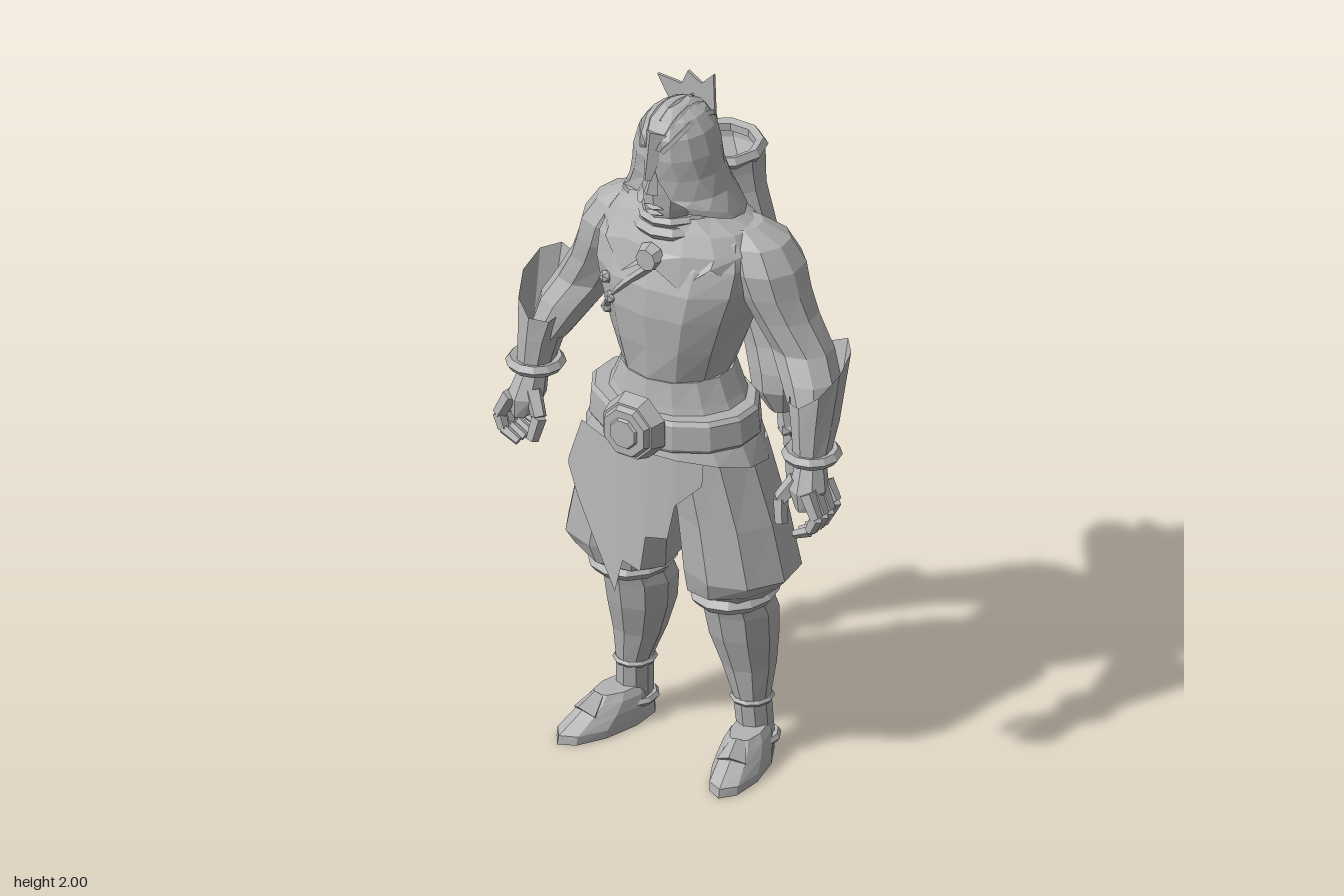
import * as THREE from 'three';

const grey = new THREE.MeshStandardMaterial({ color: 0xb4b4b4, side: THREE.DoubleSide });
grey.name = 'clay grey';
const V = (x, y, z) => new THREE.Vector3(x, y, z);

// Faceted mesh with a name
function part(group, name, geo) {
  const flat = geo.index ? geo.toNonIndexed() : geo;
  flat.computeVertexNormals();
  const mesh = new THREE.Mesh(flat, grey);
  mesh.name = name;
  group.add(mesh);
  return mesh;
}

// Skin over level rings, bottom to top: [x, y, z, rx, rz, frontGap]
function loft(rings, n = 10, { bottom = true, top = true, warp } = {}) {
  const pos = [], idx = [];
  rings.forEach(([x, y, z, rx, rz, gap = 0], i) => {
    for (let j = 0; j <= n; j++) {
      const t = gap + (j / n) * (Math.PI * 2 - 2 * gap);
      const p = V(x + rx * Math.sin(t), y, z + rz * Math.cos(t));
      if (warp) warp(p, t, i, j);
      pos.push(p.x, p.y, p.z);
    }
  });
  const w = n + 1;
  for (let i = 0; i < rings.length - 1; i++)
    for (let j = 0; j < n; j++) {
      const a = i * w + j, d = a + w;
      idx.push(a, a + 1, d + 1, a, d + 1, d);
    }
  const cap = (i, up) => {
    const c = pos.length / 3;
    pos.push(rings[i][0], rings[i][1], rings[i][2]);
    for (let j = 0; j < n; j++) {
      const a = i * w + j;
      if (up) idx.push(a, a + 1, c); else idx.push(a + 1, a, c);
    }
  };
  if (bottom) cap(0, false);
  if (top) cap(rings.length - 1, true);
  const g = new THREE.BufferGeometry();
  g.setAttribute('position', new THREE.Float32BufferAttribute(pos, 3));
  g.setIndex(idx);
  return g;
}

// Tapered rod between two points
function rod(a, b, r0, r1, n = 5) {
  const d = b.clone().sub(a);
  const g = new THREE.CylinderGeometry(r1, r0, d.length(), n);
  g.applyQuaternion(new THREE.Quaternion().setFromUnitVectors(V(0, 1, 0), d.normalize()));
  const m = a.clone().add(b).multiplyScalar(0.5);
  return g.translate(m.x, m.y, m.z);
}

// Level ring
function hoop(x, y, z, rx, rz, tube, n = 12) {
  return new THREE.TorusGeometry(1, tube / rx, 5, n).rotateX(Math.PI / 2)
    .scale(rx, rx, rz).translate(x, y, z);
}

// Hanging cloth from columns [x, topY, bottomY]
function cloth(cols, zAt) {
  const rows = 4, g = new THREE.PlaneGeometry(1, 1, cols.length - 1, rows), p = g.attributes.position;
  for (let i = 0; i < p.count; i++) {
    const [x, t, b] = cols[i % cols.length];
    const y = t + (b - t) * Math.floor(i / cols.length) / rows;
    p.setXYZ(i, x, y, zAt(x, y));
  }
  return g;
}

// Thin plate cut to an outline
const plate = (pts, z, depth) => new THREE.ExtrudeGeometry(
  new THREE.Shape(pts.map(([x, y]) => new THREE.Vector2(x, y))), { depth, bevelEnabled: false }).translate(0, 0, z - depth / 2);

function buildHead(g) {
  part(g, 'neck', loft([[0, 1.54, 0.06, 0.1, 0.1], [0, 1.7, 0.08, 0.075, 0.08]]));
  part(g, 'face', loft([[0, 1.64, 0.13, 0.03, 0.05], [0, 1.665, 0.125, 0.055, 0.075],
    [0, 1.71, 0.12, 0.072, 0.085], [0, 1.76, 0.11, 0.08, 0.098], [0, 1.85, 0.1, 0.08, 0.105]]));
  part(g, 'nose', rod(V(0, 1.83, 0.2), V(0, 1.765, 0.218), 0.01, 0.022, 4));
  for (const y of [1.70, 1.717]) part(g, 'lip', new THREE.OctahedronGeometry(1).scale(0.032, 0.009, 0.016).translate(0, y, 0.202));
  part(g, 'hood', loft([
    [0, 1.672, 0.055, 0.18, 0.148, 0.62], [0, 1.692, 0.06, 0.172, 0.15, 0.56], [0, 1.75, 0.073, 0.145, 0.138, 0.38],
    [0, 1.81, 0.085, 0.126, 0.13, 0.16], [0, 1.87, 0.09, 0.116, 0.13, 0.04], [0, 1.93, 0.09, 0.098, 0.12],
    [0, 1.968, 0.09, 0.07, 0.092], [0, 1.992, 0.09, 0.028, 0.045]], 13, {
    bottom: false,
    warp: (p, t, i) => { if (i < 2) p.y += 0.05 * Math.max(0, Math.cos(t)); },
  }));
  part(g, 'hoodPeak', rod(V(0, 1.94, 0.185), V(0, 1.815, 0.235), 0.04, 0.012, 4));
  // Raised seams over the crown
  for (let k = -2; k <= 2; k++) {
    const c = Math.cos(k * 0.42), x = 0.085 * Math.sin(k * 0.42);
    const path = new THREE.CatmullRomCurve3([V(x * 0.5, 1.9, 0.212), V(x, 1.9 + 0.07 * c, 0.165),
      V(x, 1.9 + 0.09 * c, 0.09), V(x, 1.9 + 0.067 * c, 0.015), V(x * 0.6, 1.9, -0.03)]);
    part(g, 'hoodSeam', new THREE.TubeGeometry(path, 8, 0.009, 4));
  }
}

function buildTorso(g) {
  part(g, 'torso', loft([[0, 1.08, 0.09, 0.2, 0.165], [0, 1.2, 0.085, 0.157, 0.15], [0, 1.3, 0.077, 0.178, 0.165],
    [0, 1.4, 0.068, 0.21, 0.182], [0, 1.48, 0.06, 0.235, 0.182], [0, 1.55, 0.045, 0.24, 0.17],
    [0, 1.62, 0.035, 0.22, 0.135], [0, 1.665, 0.045, 0.15, 0.11], [0, 1.68, 0.05, 0.08, 0.08]], 12, {
    // Squarer, broader chest and back
    warp: (p, t, i) => { if (i > 1 && i < 7) { p.x *= 1 + 0.1 * Math.sin(2 * t) ** 2; p.z += 0.012 * Math.sin(2 * t) ** 2 * Math.sign(Math.cos(t)); } },
  }));
  // Jagged mantle over the shoulders
  part(g, 'mantle', loft([[0, 1.53, 0.05, 0.245, 0.19], [0, 1.59, 0.045, 0.245, 0.172], [0, 1.64, 0.045, 0.21, 0.145],
    [0, 1.68, 0.06, 0.13, 0.12]], 16, {
    bottom: false, top: false, warp: (p, t, i, j) => { if (!i) p.y += j % 2 ? -0.03 : 0.035; },
  }));
  part(g, 'collar', hoop(0, 1.64, 0.09, 0.1, 0.11, 0.02));
  part(g, 'collarFold', hoop(0, 1.672, 0.1, 0.085, 0.095, 0.015));
  part(g, 'brooch', new THREE.CylinderGeometry(0.032, 0.044, 0.03, 8).rotateX(Math.PI / 2).translate(0, 1.57, 0.23));
  // Chest strap with studs
  const strap = new THREE.CatmullRomCurve3([V(0.0, 1.54, 0.226), V(-0.08, 1.465, 0.232), V(-0.15, 1.38, 0.205), V(-0.19, 1.28, 0.1)]);
  part(g, 'chestStrap', new THREE.TubeGeometry(strap, 8, 0.012, 4));
  for (const [x, y, z] of [[-0.125, 1.41, 0.226], [-0.165, 1.35, 0.185], [-0.15, 1.46, 0.215]])
    part(g, 'strapStud', new THREE.IcosahedronGeometry(0.02, 0).translate(x, y, z));

  part(g, 'tunicHem', loft([[0, 0.95, 0.09, 0.278, 0.197], [0, 1.03, 0.09, 0.245, 0.188], [0, 1.13, 0.085, 0.19, 0.165],
    [0, 1.2, 0.085, 0.16, 0.153]], 14, {
    warp: (p, t, i) => { if (!i) p.y += 0.05 * Math.max(0, Math.cos(t)); },
  }));
  part(g, 'belt', loft([[0, 1.02, 0.1, 0.248, 0.192], [0, 1.03, 0.1, 0.256, 0.196],
    [0, 1.1, 0.1, 0.25, 0.192], [0, 1.112, 0.1, 0.238, 0.184]], 14));
  const buckle = (name, r0, r1, depth, z) =>
    part(g, name, new THREE.CylinderGeometry(r1, r0, depth, 8).rotateY(Math.PI / 8).rotateX(Math.PI / 2).translate(0, 1.08, z));
  buckle('buckleBase', 0.1, 0.085, 0.045, 0.3075);
  buckle('buckleRim', 0.082, 0.07, 0.025, 0.335);
  buckle('buckleBoss', 0.055, 0.042, 0.02, 0.345);

  part(g, 'frontCloth', cloth([[-0.295, 0.84, 0.82], [-0.24, 0.98, 0.76], [-0.16, 0.99, 0.68], [-0.06, 1.01, 0.55],
    [-0.04, 1.01, 0.65], [0.02, 1.01, 0.635], [0.03, 1.01, 0.74], [0.095, 1.0, 0.75], [0.11, 1.0, 0.85], [0.18, 0.99, 0.92]],
  (x, y) => 0.262 + 0.1 * (1 - y) - 1.1 * x * x));
  part(g, 'backCloth', cloth([[-0.2, 0.97, 0.84], [-0.15, 0.97, 0.78], [-0.11, 0.97, 0.745], [-0.08, 0.97, 0.85]],
    (x, y) => -0.075 - 0.14 * (0.97 - y)));
}

function buildArm(s) {
  const g = new THREE.Group();
  g.name = s > 0 ? 'leftArm' : 'rightArm';
  part(g, 'upperArm', loft([[s * 0.435, 1.14, 0.07, 0.058, 0.065], [s * 0.395, 1.24, 0.03, 0.085, 0.082], [s * 0.352, 1.31, 0.005, 0.09, 0.082],
    [s * 0.3, 1.4, 0.008, 0.09, 0.095], [s * 0.268, 1.47, 0.012, 0.095, 0.108], [s * 0.245, 1.54, 0.012, 0.1, 0.115],
    [s * 0.215, 1.605, 0.012, 0.085, 0.095], [s * 0.17, 1.645, 0.02, 0.05, 0.06]], 9));
  part(g, 'bracer', loft([[s * 0.456, 1.05, 0.11, 0.05, 0.055], [s * 0.45, 1.14, 0.085, 0.062, 0.077],
    [s * 0.445, 1.275, 0.055, 0.078, 0.102]], 9, {
    top: false, warp: (p, t, i) => { if (i === 2) p.y += 0.035 * s * Math.sin(t) - 0.065 * Math.cos(t); },
  }));
  part(g, 'bracerRim', hoop(s * 0.455, 1.055, 0.108, 0.066, 0.066, 0.018));
  part(g, 'palm', loft([[s * 0.468, 0.91, 0.14, 0.03, 0.05], [s * 0.465, 0.965, 0.137, 0.054, 0.058], [s * 0.456, 1.04, 0.115, 0.04, 0.045]], 8));
  // Curled fingers and thumb
  const digit = (name, pts, r) => {
    for (let i = 0; i < pts.length - 1; i++) part(g, name, rod(pts[i], pts[i + 1], r * (1 - i * 0.15), r * (0.85 - i * 0.15)));
  };
  for (let k = 0; k < 4; k++) {
    const z = 0.09 + k * 0.03, d = k === 0 ? 0.015 : 0;
    digit('finger', [V(s * 0.488, 0.97, z), V(s * 0.522, 0.905 + d, z + 0.005), V(s * 0.505, 0.865 + d, z + 0.01), V(s * 0.455, 0.84 + d, z + 0.01)], 0.023);
  }
  digit('thumb', [V(s * 0.435, 0.985, 0.15), V(s * 0.398, 0.925, 0.175), V(s * 0.41, 0.86, 0.19)], 0.026);
  return g;
}

function buildLeg(s) {
  const g = new THREE.Group();
  g.name = s > 0 ? 'leftLeg' : 'rightLeg';
  part(g, 'trouserLeg', loft([[s * 0.17, 0.535, 0.06, 0.105, 0.115], [s * 0.185, 0.56, 0.06, 0.145, 0.152], [s * 0.195, 0.615, 0.065, 0.163, 0.165],
    [s * 0.168, 0.78, 0.07, 0.152, 0.158], [s * 0.125, 0.99, 0.08, 0.13, 0.155]], 9, {
    warp: (p, t, i) => { if (i === 1) p.y += 0.025 * s * Math.sin(t); },
  }));
  part(g, 'kneeCuff', hoop(s * 0.168, 0.522, 0.06, 0.095, 0.11, 0.023));
  part(g, 'shin', loft([[s * 0.2, 0.06, 0.005, 0.05, 0.055], [s * 0.193, 0.19, 0.015, 0.052, 0.055], [s * 0.18, 0.28, 0.01, 0.076, 0.075],
    [s * 0.168, 0.38, 0.018, 0.098, 0.097], [s * 0.165, 0.46, 0.027, 0.105, 0.104], [s * 0.168, 0.54, 0.055, 0.09, 0.1]], 9));
  part(g, 'ankleBand', hoop(s * 0.193, 0.178, 0.013, 0.052, 0.055, 0.009, 10));
  // Shoe, toes turned outward
  const shoe = new THREE.Group();
  shoe.name = 'shoe';
  shoe.position.set(s * 0.2, 0, 0.01);
  shoe.rotation.y = s * 0.24;
  part(shoe, 'shoeBody', loft([[0, 0, 0.1, 0.068, 0.178], [0, 0.025, 0.1, 0.07, 0.172], [0, 0.055, 0.075, 0.066, 0.14],
    [0, 0.085, 0.055, 0.058, 0.11], [0, 0.105, 0.045, 0.045, 0.095]], 10));
  part(shoe, 'shoeTongue', rod(V(0, 0.055, 0.17), V(0, 0.1, 0.125), 0.045, 0.022, 5));
  part(shoe, 'shoeStrap', hoop(0, 0.06, 0.005, 0.062, 0.065, 0.012, 10));
  g.add(shoe);
  return g;
}

function buildQuiver() {
  const g = new THREE.Group();
  g.name = 'quiver';
  part(g, 'quiverBody', loft([[0.172, 0.985, -0.162, 0.035, 0.04], [0.158, 1.055, -0.178, 0.08, 0.09], [0.15, 1.11, -0.182, 0.088, 0.09],
    [0.125, 1.18, -0.185, 0.084, 0.08], [0.05, 1.38, -0.203, 0.09, 0.09], [-0.04, 1.6, -0.216, 0.1, 0.1],
    [-0.07, 1.655, -0.221, 0.12, 0.122], [-0.075, 1.69, -0.222, 0.122, 0.126]], 9, { top: false }));
  part(g, 'quiverRim', hoop(-0.075, 1.695, -0.222, 0.112, 0.112, 0.019, 10));
  // Flared leather lip beside the opening
  part(g, 'quiverFlap', loft([[0.01, 1.44, -0.205, 0.085, 0.08], [-0.06, 1.54, -0.212, 0.11, 0.1], [-0.155, 1.635, -0.222, 0.165, 0.11]], 10, {
    bottom: false, top: false, warp: (p, t, i) => { if (i === 2) p.y -= 0.065 * Math.sin(t); },
  }));
  part(g, 'quiverTip', rod(V(0.168, 1.0, -0.165), V(0.185, 0.93, -0.16), 0.018, 0.024, 6));
  part(g, 'quiverKnob', new THREE.IcosahedronGeometry(0.026, 0).translate(0.188, 0.925, -0.16));
  part(g, 'tatteredTassel', plate([[0.18, 0.93], [0.22, 0.9], [0.29, 0.81], [0.25, 0.8], [0.265, 0.7], [0.22, 0.77], [0.195, 0.74], [0.19, 0.82]], -0.15, 0.003));
  part(g, 'arrowShaft', rod(V(0.06, 1.3, -0.215), V(-0.16, 1.83, -0.215), 0.008, 0.008));
  part(g, 'arrowFeather', plate([[-0.275, 1.855], [-0.2, 1.73], [-0.16, 1.62], [-0.07, 1.66], [-0.085, 1.78], [-0.09, 1.91],
    [-0.13, 1.87], [-0.175, 1.895], [-0.195, 1.85]], -0.215, 0.009));
  return g;
}

export function createModel() {
  const model = new THREE.Group();
  model.name = 'hoodedArcher';
  const head = new THREE.Group(), torso = new THREE.Group();
  head.name = 'head';
  torso.name = 'body';
  buildHead(head);
  buildTorso(torso);
  model.add(head, torso, buildQuiver());
  for (const s of [-1, 1]) model.add(buildArm(s), buildLeg(s));
  return model;
}
